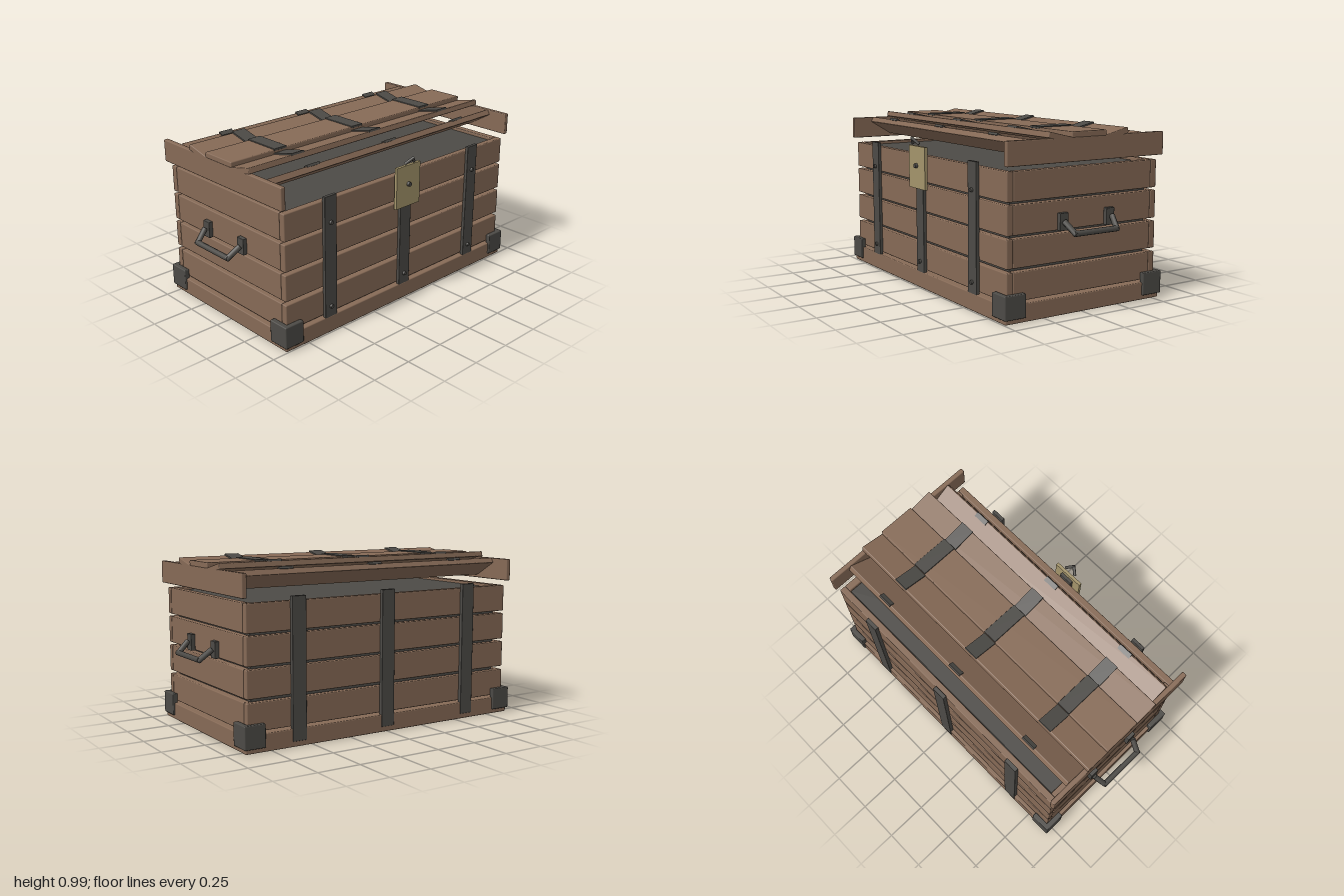
import * as THREE from 'three';
import { RoundedBoxGeometry } from 'three/addons/geometries/RoundedBoxGeometry.js';

export function createModel() {
  const mat = (name, color) => {
    const m = new THREE.MeshStandardMaterial({ color });
    m.name = name;
    return m;
  };
  const wood = mat('brown wood', 0x866a56);
  const iron = mat('dark iron', 0x4c4a46);
  const brass = mat('dull brass', 0xa3946b);

  const root = new THREE.Group();
  root.name = 'chest';
  // Chest parts are symmetric about this group's own z = 0
  const chest = new THREE.Group();
  chest.name = 'chestBody';
  chest.position.z = -0.025;
  root.add(chest);

  const add = (name, geo, material, x = 0, y = 0, z = 0, parent = chest) => {
    const mesh = new THREE.Mesh(geo, material);
    mesh.name = name;
    mesh.position.set(x, y, z);
    parent.add(mesh);
    return mesh;
  };
  // Softly rounded block given by its minimum and maximum on each axis
  const block = (name, material, x0, x1, y0, y1, z0, z1, r = 0.006) =>
    add(name, new RoundedBoxGeometry(x1 - x0, y1 - y0, z1 - z0, 1, r), material,
      (x0 + x1) / 2, (y0 + y1) / 2, (z0 + z1) / 2);
  // Bar between two points
  const bar = (name, a, b, r, parent) => {
    const d = b.clone().sub(a);
    const m = add(name, new THREE.CylinderGeometry(r, r, d.length() + r, 8), iron, 0, 0, 0, parent);
    m.position.copy(a).lerp(b, 0.5);
    m.quaternion.setFromUnitVectors(new THREE.Vector3(0, 1, 0), d.normalize());
    return m;
  };
  const V = (x, y, z) => new THREE.Vector3(x, y, z);
  const strapX = [-0.58, 0, 0.58];

  // Base and dark inner box
  block('base', wood, -0.905, 0.905, 0, 0.1, -0.52, 0.52);
  block('innerBox', iron, -0.84, 0.84, 0.09, 0.77, -0.455, 0.455, 0.003);

  // Four rows of wall planks
  for (const [y0, y1] of [[0.11, 0.265], [0.285, 0.44], [0.457, 0.615], [0.63, 0.787]]) {
    for (const s of [-1, 1]) {
      const z = s * 0.48, x = s * 0.8625;
      block('longWallPlank', wood, -0.885, 0.885, y0, y1, z - 0.02, z + 0.02);
      block('endWallPlank', wood, x - 0.0225, x + 0.0225, y0, y1, -0.46, 0.46);
    }
  }

  // Corner brackets: two plates each
  for (const sx of [-1, 1]) for (const sz of [-1, 1]) {
    const x = sx * 0.853, z = sz * 0.515;
    block('cornerPlateLong', iron, x - 0.063, x + 0.063, 0.025, 0.155, z - 0.015, z + 0.015);
    const ex = sx * 0.9, ez = sz * 0.464;
    block('cornerPlateEnd', iron, ex - 0.016, ex + 0.016, 0.025, 0.155, ez - 0.066, ez + 0.066);
  }

  // Upright straps on both long walls, rivets on the front
  for (const x of strapX) {
    block('frontStrap', iron, x - 0.043, x + 0.043, 0.09, 0.813, 0.498, 0.519, 0.003);
    block('backStrap', iron, x - 0.043, x + 0.043, 0.03, 0.813, -0.523, -0.498, 0.003);
    for (const y of [0.16, 0.66]) {
      const rivet = add('rivet', new THREE.CylinderGeometry(0.011, 0.013, 0.014, 8), iron, x, y, 0.524);
      rivet.rotation.x = Math.PI / 2;
    }
  }

  // Lid end boards
  for (const s of [-1, 1]) {
    const x = s * 0.9;
    block('lidEndBoard', wood, x - 0.015, x + 0.015, 0.815, 0.945, -0.52, 0.52);
  }
  // Lid planks: flat centre, then pairs tipped up at their outer edges
  block('lidCentrePlank', wood, -0.915, 0.915, 0.94, 0.973, -0.115, 0.115);
  for (const x of strapX)
    block('lidCentreStrap', iron, x - 0.044, x + 0.044, 0.966, 0.979, -0.117, 0.117, 0.003);

  for (const s of [-1, 1]) {
    const tipped = (name, half, width, thick, y, z, tilt) => {
      const g = new THREE.Group();
      g.name = name;
      g.position.set(0, y, s * z);
      g.rotation.x = -s * tilt;
      chest.add(g);
      add(name + 'Board', new RoundedBoxGeometry(half * 2, thick, width, 1, 0.005), wood, 0, 0, 0, g);
      return g;
    };
    const inner = tipped('lidInnerPlank', 0.915, 0.158, 0.033, 0.946, 0.188, 0.23);
    const outer = tipped('lidOuterPlank', 0.885, 0.165, 0.036, 0.891, 0.321, 0.54);
    for (const x of strapX) {
      add('lidStrap', new THREE.BoxGeometry(0.088, 0.012, 0.162), iron, x, 0.019, 0.001, inner);
      add('lidStrapEnd', new THREE.BoxGeometry(0.088, 0.014, 0.03), iron, x, 0.018, s * 0.073, outer);
    }
  }

  // Drop handles on both ends
  for (const s of [-1, 1]) {
    const handle = new THREE.Group();
    handle.name = s > 0 ? 'leftHandle' : 'rightHandle';
    chest.add(handle);
    for (const t of [-1, 1]) {
      add('handlePlate', new RoundedBoxGeometry(0.026, 0.095, 0.055, 1, 0.003), iron,
        s * 0.897, 0.503, t * 0.155, handle);
      bar('handleArm', V(s * 0.922, 0.502, t * 0.159), V(s * 0.983, 0.45, t * 0.138), 0.016, handle);
    }
    bar('handleGrip', V(s * 0.984, 0.45, -0.138), V(s * 0.984, 0.45, 0.138), 0.016, handle);
  }

  // Lock plate with stud and raised hasp loop
  add('lockPlate', new THREE.BoxGeometry(0.19, 0.247, 0.018), brass, 0, 0.717, 0.526);
  const stud = add('lockStud', new THREE.CylinderGeometry(0.013, 0.015, 0.02, 8), iron, 0, 0.727, 0.541);
  stud.rotation.x = Math.PI / 2;
  for (const s of [-1, 1])
    bar('haspLoop', V(s * 0.034, 0.858, 0.54), V(0, 0.888, 0.564), 0.009);

  return root;
}
